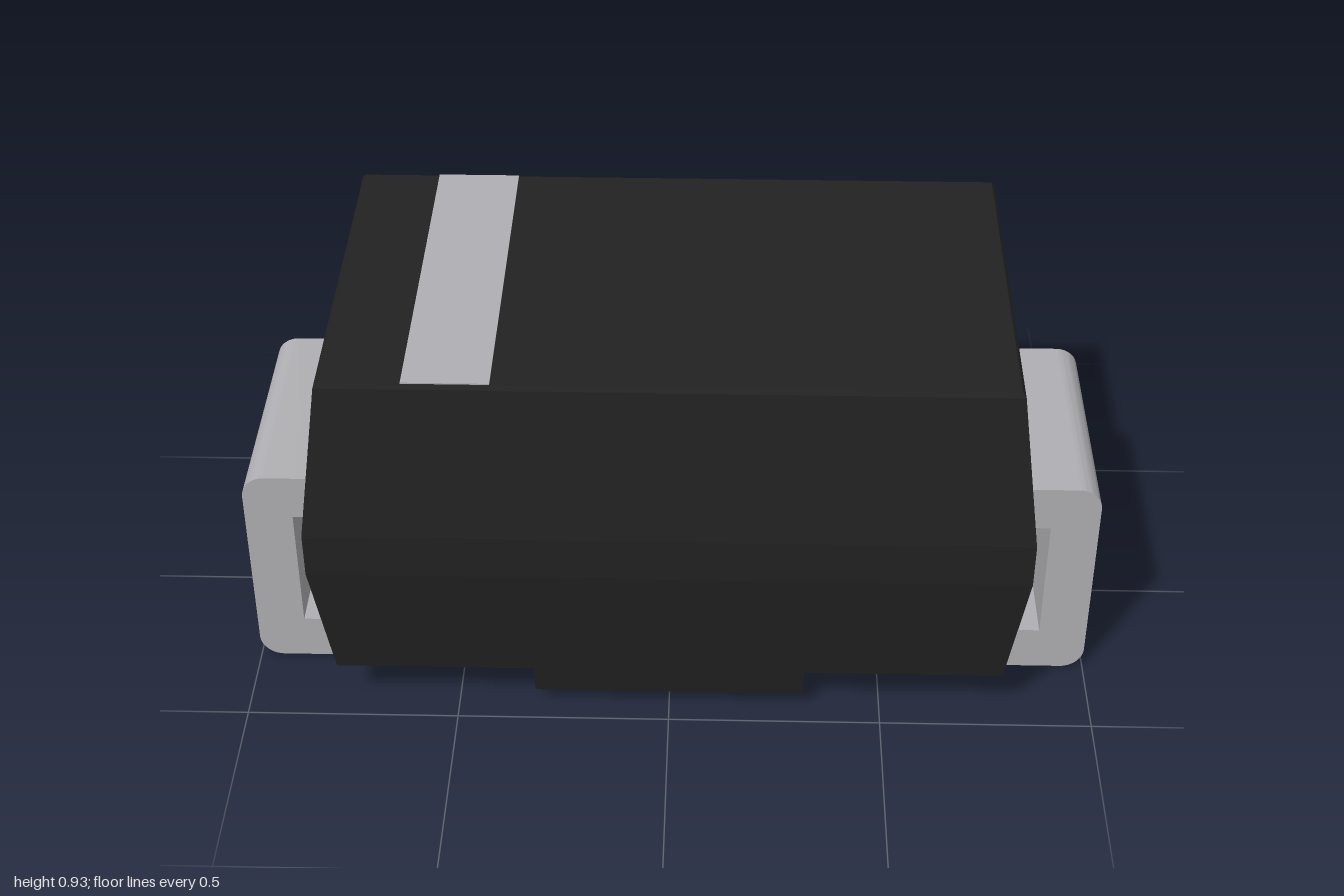
import * as THREE from 'three';
import { toCreasedNormals } from 'three/addons/utils/BufferGeometryUtils.js';

const bodyBlack = new THREE.MeshStandardMaterial({ color: 0x222222, name: 'body black' });
const metalGrey = new THREE.MeshStandardMaterial({ color: 0xb0afb3, name: 'metal grey' });

// Closed solid through rectangular sections [y, halfX, halfZ], bottom to top
function rectLoft(sections) {
  const points = [], index = [];
  for (const [y, x, z] of sections) points.push(-x, y, z, x, y, z, x, y, -z, -x, y, -z);
  const last = (sections.length - 1) * 4;
  for (let s = 0; s < last; s += 4) {
    for (let i = 0; i < 4; i++) {
      const a = s + i, b = s + (i + 1) % 4;
      index.push(a, b, b + 4, a, b + 4, a + 4);
    }
  }
  index.push(0, 2, 1, 0, 3, 2, last, last + 1, last + 2, last, last + 2, last + 3);
  const indexed = new THREE.BufferGeometry();
  indexed.setAttribute('position', new THREE.Float32BufferAttribute(points, 3));
  indexed.setIndex(index);
  const flat = indexed.toNonIndexed();
  flat.computeVertexNormals();
  return flat;
}

// C-shaped folded strip with rounded outer bends
function leadGeometry() {
  const r = 0.055, top = 0.54, width = 0.575;
  const s = new THREE.Shape();
  s.moveTo(0.56, 0);
  s.lineTo(1 - r, 0);
  s.absarc(1 - r, r, r, -Math.PI / 2, 0, false);
  s.lineTo(1, top - r);
  s.absarc(1 - r, top - r, r, 0, Math.PI / 2, false);
  s.lineTo(0.8, top);
  s.lineTo(0.8, 0.427);
  s.lineTo(0.887, 0.427);
  s.lineTo(0.887, 0.113);
  s.lineTo(0.56, 0.113);
  s.closePath();
  const g = new THREE.ExtrudeGeometry(s, { depth: width, bevelEnabled: false, curveSegments: 10 });
  g.translate(0, 0, -width / 2);
  return toCreasedNormals(g, 0.6);
}

export function createModel() {
  const group = new THREE.Group();
  group.name = 'surfaceMountDiode';
  const add = (name, geometry, material) => {
    const mesh = new THREE.Mesh(geometry, material);
    mesh.name = name;
    group.add(mesh);
    return mesh;
  };

  // Moulded case, widest around the parting band
  add('case', rectLoft([
    [0.116, 0.785, 0.457],
    [0.43, 0.826, 0.5],
    [0.54, 0.826, 0.5],
    [0.915, 0.776, 0.45],
    [0.925, 0.768, 0.442],
  ]), bodyBlack);

  // Raised pad under the case
  add('bottomPad', rectLoft([
    [0.041, 0.318, 0.447],
    [0.118, 0.318, 0.457],
  ]), bodyBlack);

  // Polarity stripe on the top face
  const stripe = add('polarityStripe', new THREE.BoxGeometry(0.195, 0.006, 0.884), metalGrey);
  stripe.position.set(-0.488, 0.925, 0);

  // Folded leads at both ends
  const lead = leadGeometry();
  add('leftLead', lead, metalGrey);
  add('rightLead', lead, metalGrey).rotation.y = Math.PI;

  return group;
}
